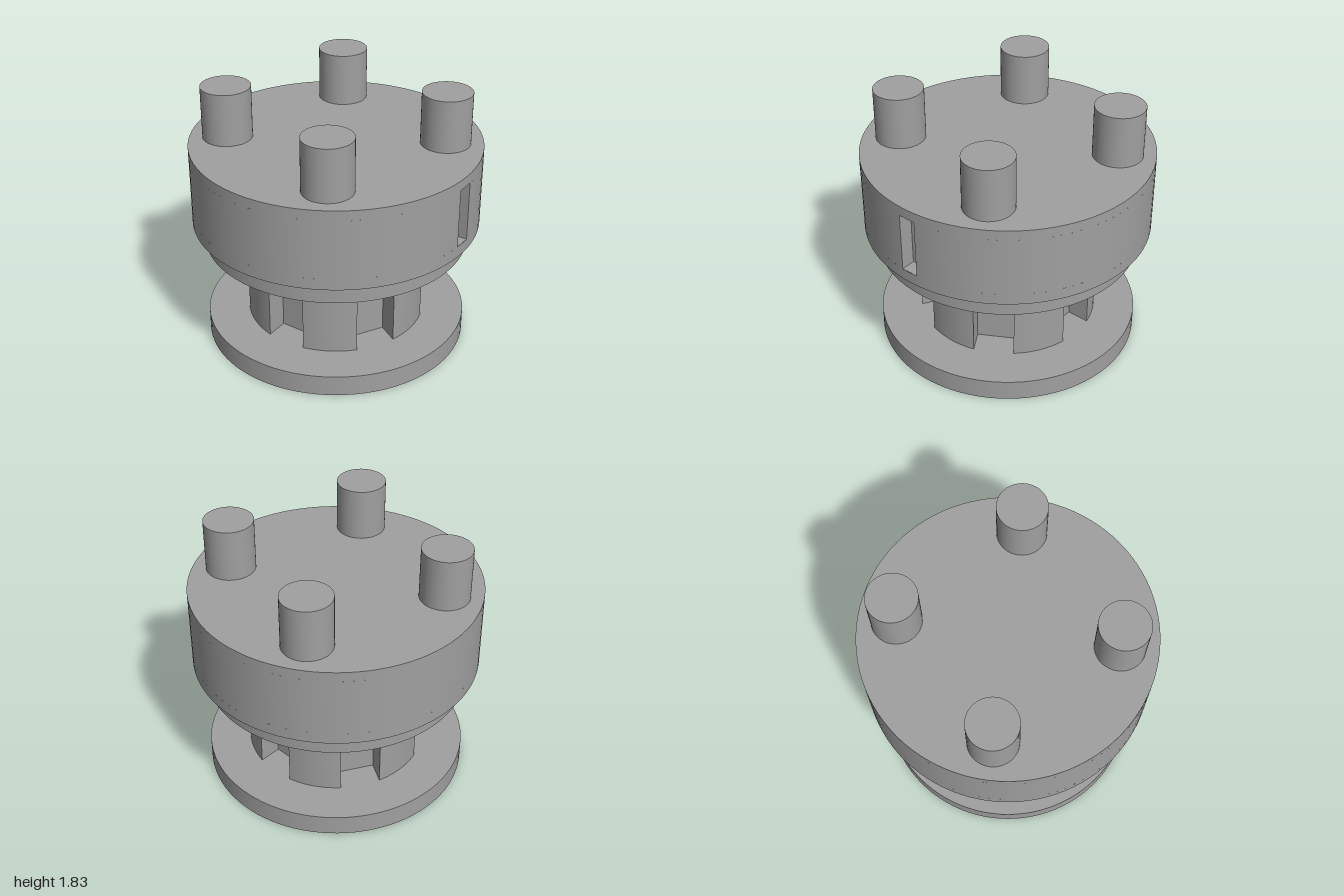
import * as THREE from 'three';
import { toCreasedNormals } from 'three/addons/utils/BufferGeometryUtils.js';

const SEG = 96;
const rad = THREE.MathUtils.degToRad;

export function createModel() {
  const model = new THREE.Group();
  model.name = 'couplingHub';
  const grey = new THREE.MeshStandardMaterial({ color: 0xa0a0a0 });
  grey.name = 'grey';

  const add = (name, geometry, parent = model) => {
    const mesh = new THREE.Mesh(geometry, grey);
    mesh.name = name;
    parent.add(mesh);
    return mesh;
  };
  const disc = (name, r, y0, y1) =>
    add(name, new THREE.CylinderGeometry(r, r, y1 - y0, SEG).translate(0, (y0 + y1) / 2, 0));

  // Lower flange and collar under the drum
  disc('baseFlange', 0.92, 0, 0.15);
  disc('collar', 0.92, 0.74, 0.89);

  // Column with six teeth separated by straight-sided slots
  const outline = new THREE.Shape();
  const R = 0.63, half = 17.1, floorR = 0.476, floorHalf = 17.4;
  for (let k = 0; k < 6; k++) {
    const c = 90 + 60 * k;
    outline.absarc(0, 0, R, rad(c - half), rad(c + half), false);
    for (const a of [rad(c + 30 - floorHalf), rad(c + 30 + floorHalf)]) {
      outline.lineTo(floorR * Math.cos(a), floorR * Math.sin(a));
    }
  }
  outline.closePath();
  const column = new THREE.ExtrudeGeometry(outline, { depth: 0.59, bevelEnabled: false, curveSegments: 12 });
  column.rotateX(-Math.PI / 2).translate(0, 0.15, 0);
  add('toothedColumn', toCreasedNormals(column, rad(20)));

  // Drum: wall bands around one rectangular notch, plus both end faces
  const drum = new THREE.Group();
  drum.name = 'drum';
  model.add(drum);
  const y0 = 0.89, y1 = 1.46, n0 = 0.97, n1 = 1.39;
  const notchAngle = rad(60), notchHalf = 0.061, notchDepth = 0.1;
  const band = (name, a, b, gap) => add(name, new THREE.CylinderGeometry(
    1, 1, b - a, SEG, 1, true, notchAngle + gap, Math.PI * 2 - 2 * gap).translate(0, (a + b) / 2, 0), drum);
  band('lowerWall', y0, n0, 0);
  band('notchedWall', n0, n1, Math.asin(notchHalf));
  band('upperWall', n1, y1, 0);
  const cap = (name, y, tilt) => add(name,
    new THREE.CircleGeometry(1, SEG).rotateX(tilt).translate(0, y, 0), drum);
  cap('topFace', y1, -Math.PI / 2);
  cap('bottomFace', y0, Math.PI / 2);

  // Notch pocket: a box turned inside out, without its outer face
  const pocket = new THREE.BoxGeometry(notchHalf * 2, n1 - n0, notchDepth);
  pocket.setIndex(Array.from(pocket.index.array).filter((_, i) => i < 24 || i >= 30));
  pocket.clearGroups();
  pocket.scale(-1, 1, 1);
  pocket.computeVertexNormals();
  pocket.translate(0, (n0 + n1) / 2, Math.sqrt(1 - notchHalf ** 2) - notchDepth / 2);
  pocket.rotateY(notchAngle);
  add('notchPocket', pocket, drum);

  // Four pegs standing on the drum
  for (let i = 0; i < 4; i++) {
    const a = i * Math.PI / 2;
    const peg = add('peg', new THREE.CylinderGeometry(0.172, 0.172, y1 < 1.83 ? 1.83 - y1 : 0, 48));
    peg.position.set(0.74 * Math.sin(a), (y1 + 1.83) / 2, 0.74 * Math.cos(a));
  }

  return model;
}
